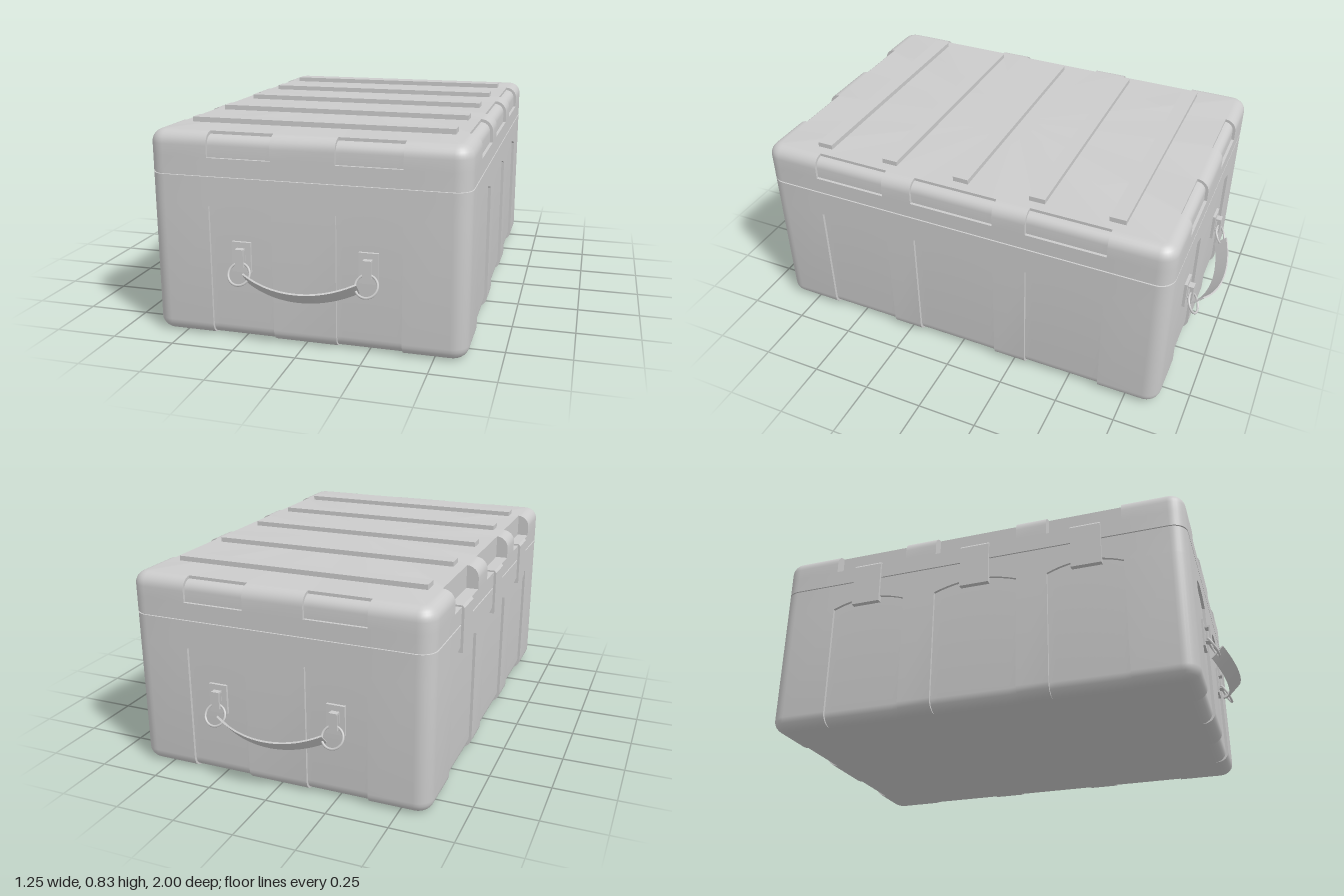
import * as THREE from 'three';
import { toCreasedNormals } from 'three/addons/utils/BufferGeometryUtils.js';

const HX = 0.622, HZ = 0.89, H = 0.81;      // half width, half depth, height
const CX = 0.0025;                          // body centre in x
const CORNER = 0.065, R = 0.05, D = 0.012;  // plan radius, edge fillet, recess depth
const ARCH = 0.527, RISE = 0.033;           // arched panel height
const SEAM = 0.6455, NOTCH = 0.715;         // lid seam, lower edge of the lid notches
const STEPS = 6;

const mat = new THREE.MeshStandardMaterial({ color: 0xcccccc });

function add(parent, name, geometry) {
  const m = new THREE.Mesh(geometry, mat);
  m.name = name;
  parent.add(m);
  return m;
}

function box(parent, name, x0, x1, y0, y1, z0, z1) {
  const m = add(parent, name, new THREE.BoxGeometry(x1 - x0, y1 - y0, z1 - z0));
  m.position.set((x0 + x1) / 2, (y0 + y1) / 2, (z0 + z1) / 2);
  return m;
}

// Columns around the plan: position, outward normal, recess and arch height
function planColumns() {
  const ends = [[-0.378, -0.125], [0.125, 0.378]];
  const long = [[-0.635, -0.305], [-0.165, 0.195], [0.325, 0.64]];
  const flipped = long.map(([a, b]) => [-b, -a]).reverse();
  const sides = [
    { n: [0, 1], t: [1, 0], half: HX, out: HZ, panels: ends },
    { n: [1, 0], t: [0, -1], half: HZ, out: HX, panels: flipped },
    { n: [0, -1], t: [-1, 0], half: HX, out: HZ, panels: ends },
    { n: [-1, 0], t: [0, 1], half: HZ, out: HX, panels: long, deep: true },
  ];
  const cols = [];
  for (const { n, t, half, out, panels, deep } of sides) {
    const put = (s, recess, arch) => cols.push({
      x: CX + n[0] * out + t[0] * s, z: n[1] * out + t[1] * s,
      nx: n[0], nz: n[1], recess, arch, deep });
    for (const [a, b] of panels) {
      put(a, 0, ARCH);
      for (let i = 0; i <= 12; i++) {
        const u = i / 6 - 1;
        put(a + (b - a) * i / 12, D, ARCH + RISE * (1 - u * u));
      }
      put(b, 0, ARCH);
    }
    // rounded vertical corner
    const k = half - CORNER, o = out - CORNER;
    for (let i = 0; i <= 8; i++) {
      const c = Math.cos(i * Math.PI / 16), s = Math.sin(i * Math.PI / 16);
      const nx = n[0] * c + t[0] * s, nz = n[1] * c + t[1] * s;
      cols.push({
        x: CX + n[0] * o + t[0] * k + nx * CORNER, z: n[1] * o + t[1] * k + nz * CORNER,
        nx, nz, recess: 0, arch: ARCH });
    }
  }
  return cols;
}

// Vertical profile of one column as [inset, y], bottom to top
function profile({ recess, arch, deep }) {
  const rows = [[0.064, 0]];
  for (let i = 0; i <= STEPS; i++) {
    const a = i / STEPS * Math.PI / 2;
    rows.push([R * (1 - Math.sin(a)) + recess, R * (1 - Math.cos(a))]);
  }
  rows.push([recess, arch], [0, arch]);
  rows.push([0, SEAM - 0.003], [0.005, SEAM - 0.002], [0.005, SEAM + 0.002], [0, SEAM + 0.003]);
  const cut = deep && recess > 0;
  rows.push([0, NOTCH], [cut ? R : recess, NOTCH]);
  for (let i = 0; i <= STEPS; i++) {
    const a = i / STEPS * Math.PI / 2, r = R - recess;
    rows.push(cut ? [R, NOTCH + (H - NOTCH) * i / STEPS]
      : [R - r * Math.cos(a), H - R + r * Math.sin(a)]);
  }
  rows.push([R, H]);
  return rows;
}

function bodyGeometry() {
  const grid = planColumns().map(c => profile(c).map(([h, y]) =>
    new THREE.Vector3(c.x - c.nx * h, y, c.z - c.nz * h)));
  const pos = [], e1 = new THREE.Vector3(), e2 = new THREE.Vector3();
  const tri = (a, b, c) => {
    e1.subVectors(b, a); e2.subVectors(c, a);
    if (e1.cross(e2).length() < 1e-9) return;
    for (const p of [a, b, c]) pos.push(p.x * 100, p.y * 100, p.z * 100);
  };
  const low = new THREE.Vector3(CX, 0, 0), high = new THREE.Vector3(CX, H, 0);
  grid.forEach((p, j) => {
    const q = grid[(j + 1) % grid.length], last = p.length - 1;
    for (let i = 0; i < last; i++) {
      tri(p[i], q[i], q[i + 1]);
      tri(p[i], q[i + 1], p[i + 1]);
    }
    tri(low, q[0], p[0]);
    tri(high, p[last], q[last]);
  });
  const g = new THREE.BufferGeometry();
  g.setAttribute('position', new THREE.Float32BufferAttribute(pos, 3));
  // creased at a larger scale so that fine steps stay separate
  return toCreasedNormals(g, 0.6).scale(0.01, 0.01, 0.01);
}

// Handle at the +z end
function makeHandle() {
  const handle = new THREE.Group();
  const wall = HZ - D;
  for (const s of [-1, 1]) {
    const x = s * 0.25 + CX;
    box(handle, 'handlePlate', x - 0.038, x + 0.038, 0.275, 0.395, wall - 0.005, wall + 0.012);

    // bracket loop holding the ring
    const loop = new THREE.Shape([[0, 0], [0.03, 0], [0.03, 0.07], [0, 0.07]]
      .map(p => new THREE.Vector2(...p)));
    loop.holes.push(new THREE.Path([[0.008, 0.008], [0.008, 0.062], [0.023, 0.062], [0.023, 0.008]]
      .map(p => new THREE.Vector2(...p))));
    const bracket = add(handle, 'ringBracket',
      new THREE.ExtrudeGeometry(loop, { depth: 0.033, bevelEnabled: false }));
    bracket.rotation.y = -Math.PI / 2;
    bracket.position.set(x + 0.0165, 0.302, wall + 0.006);

    const ring = add(handle, 'handleRing', new THREE.TorusGeometry(0.043, 0.005, 8, 32));
    ring.position.set(x, 0.277, 0.919);
    ring.rotation.x = -0.5;
  }

  // curved strap, bowed outward and down
  const w = 0.222, sag = 0.062, th = 0.007;
  const rad = (w * w + sag * sag) / (2 * sag), half = Math.asin(w / rad);
  const band = new THREE.Shape();
  band.absarc(0, sag - rad, rad, Math.PI / 2 - half, Math.PI / 2 + half, false);
  band.absarc(0, sag - rad, rad - th, Math.PI / 2 + half, Math.PI / 2 - half, true);
  const strap = add(handle, 'handleStrap', toCreasedNormals(
    new THREE.ExtrudeGeometry(band, { depth: 0.068, bevelEnabled: false, curveSegments: 20 })
      .scale(100, 100, 100), 0.6).scale(0.01, 0.01, 0.01));
  strap.rotation.x = Math.PI * 0.75;
  strap.position.set(CX, 0.291, 0.955);
  return handle;
}

export function createModel() {
  const model = new THREE.Group();
  model.name = 'storageCase';
  add(model, 'caseBody', bodyGeometry());

  // raised ribs across the lid
  for (const z of [-0.64, -0.315, 0.013, 0.335, 0.645])
    box(model, 'lidRib', -0.525, 0.53, H - 0.01, 0.83, z - 0.033, z + 0.033);

  // latches on the -x side, hooked into the deep notches
  const latch = new THREE.Shape([[-0.575, 0.53], [-0.575, 0.722], [-0.622, 0.722],
    [-0.63, 0.712], [-0.63, 0.53]].map(p => new THREE.Vector2(...p)));
  for (const z of [-0.48, 0.015, 0.49]) {
    const m = add(model, 'latch',
      new THREE.ExtrudeGeometry(latch, { depth: 0.126, bevelEnabled: false }));
    m.position.z = z - 0.063;
  }

  // one handle at each end
  const front = makeHandle(), back = makeHandle();
  front.name = 'frontHandle';
  back.name = 'backHandle';
  back.rotation.y = Math.PI;
  back.position.x = 2 * CX;
  model.add(front, back);
  return model;
}
